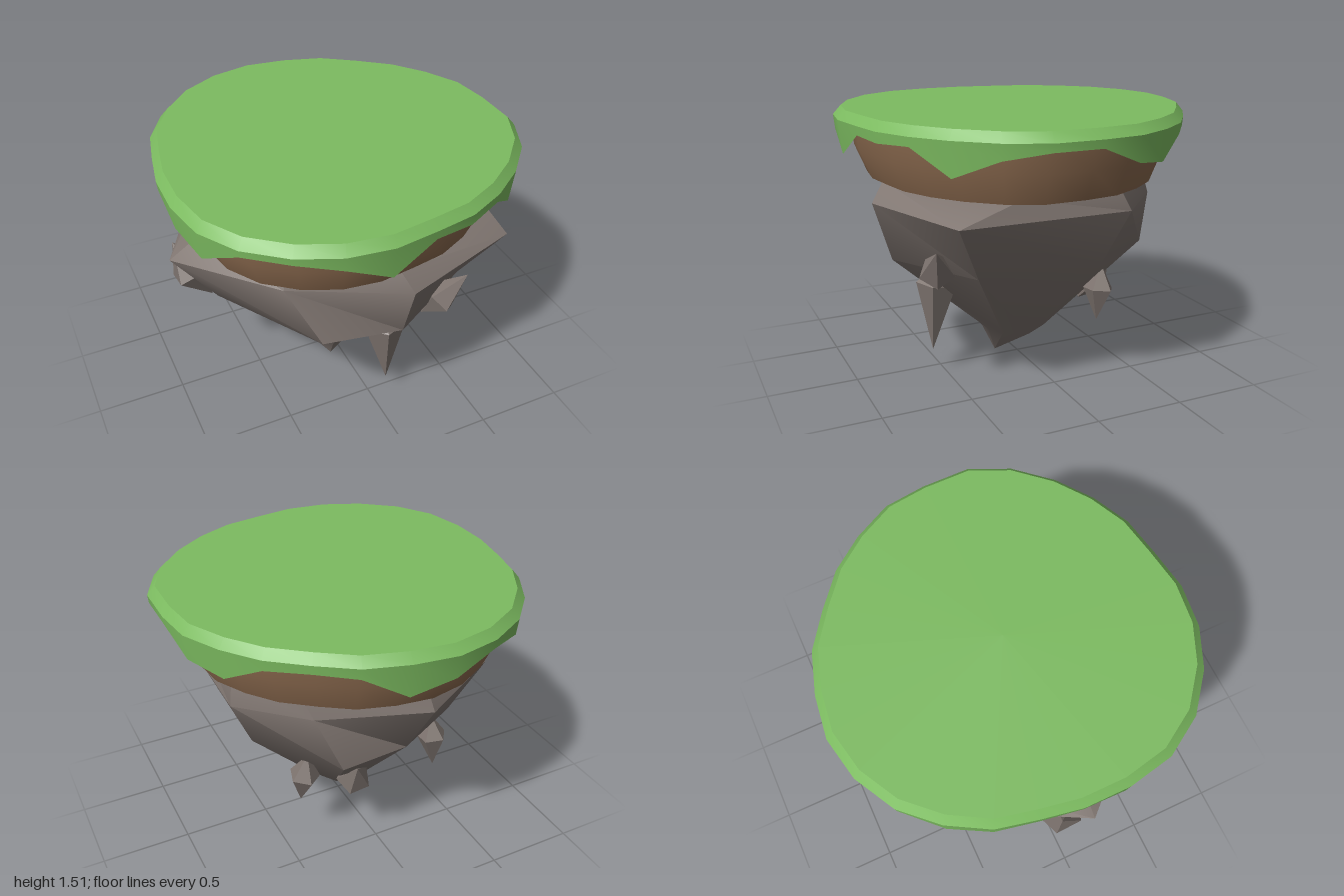
import * as THREE from 'three';
import { toCreasedNormals } from 'three/addons/utils/BufferGeometryUtils.js';

const grass = new THREE.MeshStandardMaterial({ color: 0x7cbb60, side: THREE.DoubleSide });
grass.name = 'grass green';
const dirt = new THREE.MeshStandardMaterial({ color: 0x8a694e });
dirt.name = 'dirt brown';
const rock = new THREE.MeshStandardMaterial({ color: 0x7f7570 });
rock.name = 'rock grey';

// Island outline [x, z, height of the grass fringe], clockwise from above
const outline = [
  [-0.14, -1.0, 1.33], [0.1, -0.97, 1.27], [0.33, -0.9, 1.4], [0.52, -0.77, 1.41],
  [0.71, -0.62, 1.4], [0.85, -0.44, 1.29], [0.96, -0.23, 1.32], [0.99, 0, 1.415],
  [0.99, 0.27, 1.415], [0.89, 0.49, 1.375], [0.72, 0.68, 1.275], [0.53, 0.82, 1.41],
  [0.32, 0.92, 1.4], [0.1, 0.96, 1.41], [-0.14, 0.995, 1.275], [-0.38, 0.965, 1.38],
  [-0.6, 0.87, 1.42], [-0.8, 0.71, 1.42], [-0.93, 0.5, 1.3], [-0.98, 0.25, 1.33],
  [-0.98, 0, 1.41], [-0.94, -0.22, 1.37], [-0.89, -0.44, 1.32], [-0.77, -0.65, 1.27],
  [-0.6, -0.83, 1.37], [-0.38, -0.95, 1.41],
];
const ring = (scale, y) => outline.map(([x, z]) => [x * scale, y, z * scale]);

// Skin a stack of rings listed from top to bottom, with optional end caps
function loft(rings, crease, capTop, capBottom) {
  const n = rings[0].length, pos = rings.flat(2), index = [];
  for (let r = 0; r < rings.length - 1; r++) {
    for (let i = 0; i < n; i++) {
      const a = r * n + i, b = r * n + (i + 1) % n;
      index.push(a, b, a + n, b, b + n, a + n);
    }
  }
  const cap = (r, up) => {
    const c = pos.length / 3, mid = [0, 1, 2].map(k => rings[r].reduce((s, p) => s + p[k], 0) / n);
    pos.push(...mid);
    for (let i = 0; i < n; i++) {
      const a = r * n + i, b = r * n + (i + 1) % n;
      index.push(c, up ? b : a, up ? a : b);
    }
  };
  if (capTop) cap(0, true);
  if (capBottom) cap(rings.length - 1, false);
  const g = new THREE.BufferGeometry();
  g.setAttribute('position', new THREE.Float32BufferAttribute(pos, 3));
  g.setIndex(index);
  return toCreasedNormals(g, crease);
}

// Five-sided crystal pointed at both ends, widest at a fraction of its length
function crystal(from, to, radius, widest) {
  const a = new THREE.Vector3(...from), dir = new THREE.Vector3(...to).sub(a);
  const len = dir.length();
  const profile = [[0, 0], [radius, widest * len], [0, len]].map(p => new THREE.Vector2(...p));
  const g = new THREE.LatheGeometry(profile, 5);
  g.deleteAttribute('normal');
  const flat = g.toNonIndexed();
  flat.computeVertexNormals();
  flat.applyQuaternion(new THREE.Quaternion().setFromUnitVectors(new THREE.Vector3(0, 1, 0), dir.normalize()));
  flat.translate(a.x, a.y, a.z);
  return flat;
}

export function createModel() {
  const group = new THREE.Group();
  const add = (name, geometry, material) => {
    const mesh = new THREE.Mesh(geometry, material);
    mesh.name = name;
    group.add(mesh);
  };

  // Grass slab with a bevelled rim
  add('grassTop', loft([ring(0.957, 1.51), ring(1, 1.46)], 0.5, true, true), grass);

  // Ragged fringe hanging from the rim
  const fringe = outline.map(([x, z, y]) => {
    const s = 1 - (1.46 - y) * 0.1;
    return [x * s, y, z * s];
  });
  add('grassFringe', loft([ring(1, 1.46), fringe], 0.6), grass);

  // Dirt layer
  add('dirtLayer', loft([ring(0.905, 1.458), ring(0.895, 1.29), ring(0.83, 1.13)], 0.6, false, true), dirt);

  // Rock underside: eight-sided rings narrowing to an off-centre tip
  const levels = [
    [1.14, [[-0.12, -0.78], [0.48, -0.55], [0.74, -0.25], [0.72, 0.3], [0, 0.8], [-0.5, 0.55], [-0.82, 0.1], [-0.58, -0.46]]],
    [1.03, [[-0.14, -0.82], [0.44, -0.61], [0.77, -0.3], [0.75, 0.65], [0.05, 0.88], [-0.54, 0.58], [-0.99, 0.1], [-0.66, -0.52]]],
    [0.7, [[-0.1, -0.63], [0.3, -0.66], [0.63, -0.2], [0.57, 0.48], [0.05, 0.78], [-0.38, 0.7], [-0.75, 0.1], [-0.5, -0.42]]],
    [0.17, [[-0.02, -0.16], [0.08, -0.14], [0.17, 0], [0.1, 0.14], [0, 0.19], [-0.08, 0.2], [-0.2, 0.08], [-0.14, -0.08]]],
    [0, Array(8).fill([-0.07, 0.12])],
  ];
  add('rockBase', loft(levels.map(([y, pts]) => pts.map(([x, z]) => [x, y, z])), 0.7, true), rock);

  // Crystals: blunt end, tip, radius, position of the widest part
  const shards = [
    ['frontSpike', [0.07, 0.65, 0.52], [0.08, 0.14, 0.57], 0.12, 0.22],
    ['frontShard', [0.27, 0.6, 0.6], [0.5, 0.85, 0.68], 0.1, 0.4],
    ['rightSideShard', [-0.93, 1.02, -0.06], [-0.76, 0.66, 0.02], 0.13, 0.5],
    ['backRightSpike', [-0.43, 0.64, -0.36], [-0.45, 0.29, -0.38], 0.09, 0.4],
    ['backLeftSpike', [0.37, 0.62, -0.36], [0.4, 0.29, -0.32], 0.09, 0.45],
    ['backShard', [0.1, 0.32, -0.36], [0.15, 0.57, -0.54], 0.1, 0.45],
  ];
  for (const [name, from, to, radius, widest] of shards) {
    add(name, crystal(from, to, radius, widest), rock);
  }
  return group;
}
